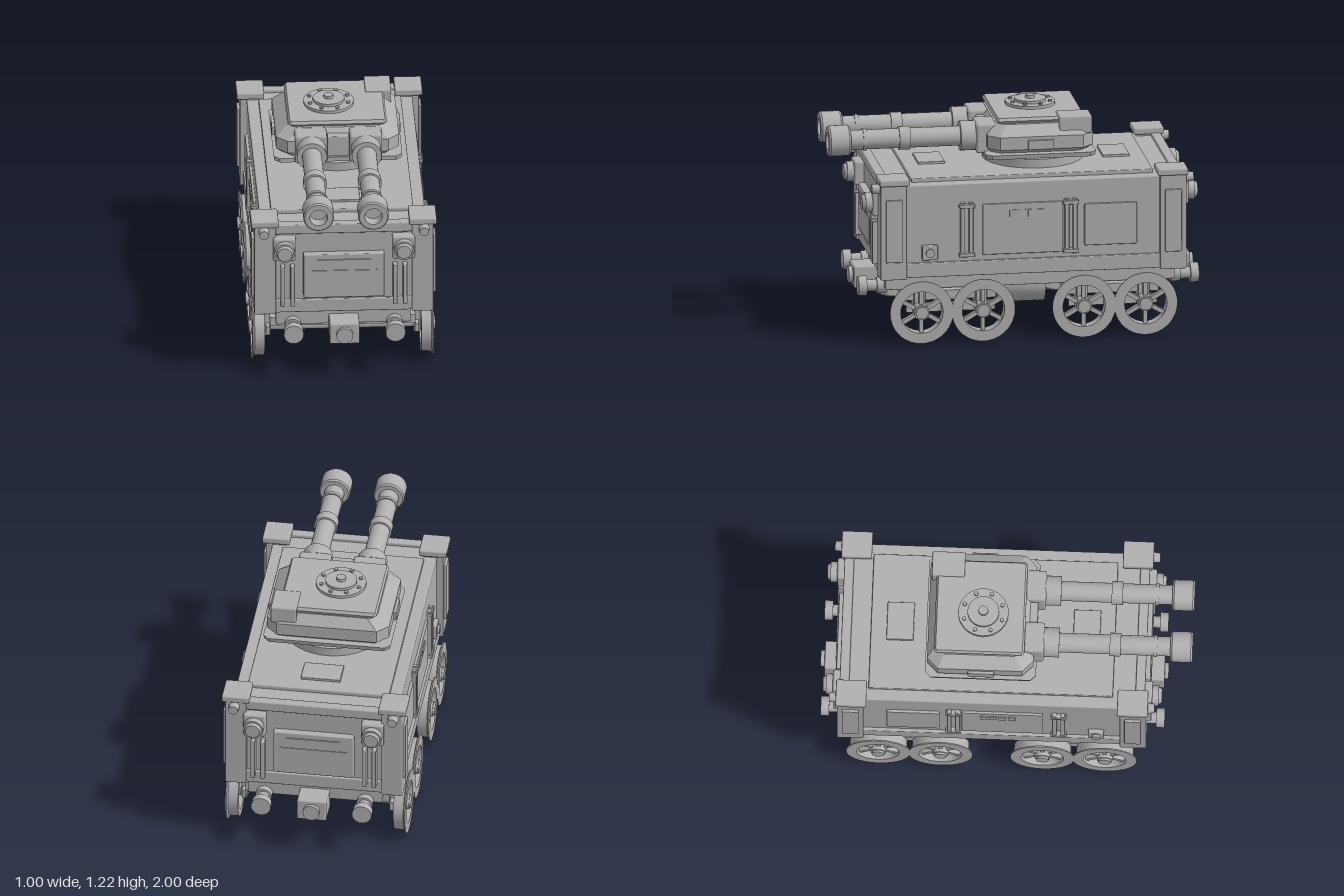
import * as THREE from 'three';
import { toCreasedNormals } from 'three/addons/utils/BufferGeometryUtils.js';
import { RoundedBoxGeometry } from 'three/addons/geometries/RoundedBoxGeometry.js';
import { ConvexGeometry } from 'three/addons/geometries/ConvexGeometry.js';

const steel = new THREE.MeshStandardMaterial({ color: 0xb0b0b0 });
steel.name = 'steel grey';
const ZC = -0.067; // middle of the hull along z

function add(parent, name, geo) {
  const m = new THREE.Mesh(geo, steel);
  m.name = name;
  parent.add(m);
  return m;
}

// box given by its limits, with an optional bevel
function box(parent, name, x0, x1, y0, y1, z0, z1, r = 0) {
  const w = x1 - x0, h = y1 - y0, d = z1 - z0;
  const geo = r ? new RoundedBoxGeometry(w, h, d, 1, r) : new THREE.BoxGeometry(w, h, d);
  const m = add(parent, name, geo);
  m.position.set((x0 + x1) / 2, (y0 + y1) / 2, (z0 + z1) / 2);
  return m;
}

// the same box on the left (+x) and the right
function pair(parent, name, x0, x1, ...rest) {
  box(parent, name, x0, x1, ...rest);
  box(parent, name, -x1, -x0, ...rest);
}

// cylinder along one axis, between a and b; u and v are the other two coordinates in xyz order
function rod(parent, name, axis, r, a, b, u, v, n = 24, r2 = r) {
  const geo = new THREE.CylinderGeometry(r2, r, b - a, n);
  const c = (a + b) / 2;
  if (axis === 'x') geo.rotateZ(-Math.PI / 2).translate(c, u, v);
  else if (axis === 'y') geo.translate(u, c, v);
  else geo.rotateX(Math.PI / 2).translate(u, v, c);
  return add(parent, name, toCreasedNormals(geo, 0.6));
}

function lathe(points, n = 32) {
  const pts = points.map(p => new THREE.Vector2(p[0], p[1]));
  return toCreasedNormals(new THREE.LatheGeometry(pts, n), 0.5);
}

// wheel with its outer side facing +x
function wheel() {
  const g = new THREE.Group();
  g.name = 'wheel';
  const rim = lathe([[0.115, -0.034], [0.153, -0.034], [0.155, 0.02], [0.172, 0.026],
    [0.172, 0.033], [0.115, 0.033], [0.115, -0.034]], 36);
  add(g, 'wheelRim', rim.rotateZ(-Math.PI / 2));
  rod(g, 'hub', 'x', 0.042, -0.034, 0.034, 0, 0, 20);
  rod(g, 'hubCap', 'x', 0.034, 0.034, 0.046, 0, 0, 20);
  for (let i = 0; i < 6; i++) {
    const spoke = add(g, 'spoke', new THREE.BoxGeometry(0.03, 0.09, 0.022).translate(0, 0.078, 0));
    spoke.rotation.x = i * Math.PI / 3;
  }
  return g;
}

// everything at one end of the hull, built at the front
function hullEnd() {
  const g = new THREE.Group();
  g.name = 'hullEnd';
  box(g, 'topBeam', -0.37, 0.37, 0.83, 0.885, 0.7, 0.752, 0.006);
  box(g, 'bottomBeam', -0.37, 0.37, 0.36, 0.435, 0.7, 0.752, 0.006);
  pair(g, 'cornerPost', 0.365, 0.48, 0.355, 0.88, 0.62, 0.762, 0.006);
  pair(g, 'postCap', 0.35, 0.498, 0.878, 0.915, 0.605, 0.77, 0.008);
  pair(g, 'postPlate', 0.475, 0.495, 0.455, 0.8, 0.645, 0.735, 0.005);
  // central hatch plate
  box(g, 'hatchPlate', -0.217, 0.217, 0.455, 0.715, 0.72, 0.775, 0.006);
  box(g, 'hatchSlot', -0.145, 0.145, 0.645, 0.685, 0.77, 0.781);
  box(g, 'hatchPanel', -0.182, 0.182, 0.48, 0.62, 0.77, 0.779);
  // vertical bars and lamps
  for (const x of [0.275, 0.328]) pair(g, 'verticalBar', x - 0.012, x + 0.012, 0.41, 0.645, 0.72, 0.785, 0.005);
  pair(g, 'lampHousing', 0.258, 0.38, 0.685, 0.82, 0.72, 0.79, 0.012);
  for (const s of [-1, 1]) {
    rod(g, 'lampRing', 'z', 0.055, 0.785, 0.825, s * 0.32, 0.752, 24);
    rod(g, 'lampGlass', 'z', 0.046, 0.825, 0.842, s * 0.32, 0.752, 24, 0.038);
    rod(g, 'markerLamp', 'z', 0.03, 0.755, 0.805, s * 0.43, 0.853, 16, 0.025);
    rod(g, 'bufferStem', 'z', 0.032, 0.7, 0.82, s * 0.273, 0.277, 16);
    rod(g, 'bufferCollar', 'z', 0.044, 0.7, 0.755, s * 0.273, 0.277, 16);
    rod(g, 'bufferHead', 'z', 0.053, 0.81, 0.855, s * 0.273, 0.277, 24);
  }
  box(g, 'couplerBox', -0.08, 0.08, 0.21, 0.33, 0.7, 0.845, 0.008);
  rod(g, 'couplerPin', 'z', 0.045, 0.84, 0.866, 0, 0.268, 20);
  // bogie: plate, side beams, axles, wheels
  const mid = 0.373;
  box(g, 'bogiePlate', -0.39, 0.39, 0.215, 0.265, mid - 0.25, mid + 0.25);
  pair(g, 'bogieBeam', 0.39, 0.41, 0.155, 0.205, mid - 0.24, mid + 0.24);
  for (const z of [0.206, 0.54]) {
    rod(g, 'axle', 'x', 0.022, -0.43, 0.43, 0.175, z, 12);
    pair(g, 'axleBox', 0.385, 0.42, 0.13, 0.285, z - 0.03, z + 0.03, 0.005);
    for (const s of [-1, 1]) {
      const w = wheel();
      w.position.set(s * 0.454, 0.172, z);
      if (s < 0) w.rotation.y = Math.PI;
      g.add(w);
    }
  }
  return g;
}

function hullSides(g) {
  const X = 0.445; // side wall
  pair(g, 'sideSill', 0.42, X + 0.018, 0.36, 0.44, -0.76, 0.63, 0.006);
  pair(g, 'sidePanel', 0.42, X + 0.014, 0.47, 0.75, -0.228, 0.206, 0.005);
  pair(g, 'rearSidePanel', 0.42, X + 0.016, 0.5, 0.73, -0.63, -0.346, 0.005);
  pair(g, 'sideBox', 0.42, X + 0.025, 0.455, 0.537, 0.45, 0.535, 0.006);
  for (let i = 0; i < 4; i++) {
    const z = 0.04 - i * 0.05;
    pair(g, 'viewSlit', X + 0.012, X + 0.02, 0.675, 0.715, z - 0.02, z + 0.02);
  }
  for (const z of [0.292, -0.272]) {
    for (const y of [0.475, 0.745])
      pair(g, 'railBracket', 0.43, X + 0.03, y - 0.01, y + 0.012, z - 0.042, z + 0.042, 0.004);
    for (const d of [-0.022, 0.022])
      pair(g, 'sideRail', 0.43, X + 0.025, 0.465, 0.765, z + d - 0.012, z + d + 0.012, 0.004);
  }
  for (const s of [-1, 1])
    rod(g, 'sideBoxKnob', 'x', 0.024, s > 0 ? 0.46 : -0.482, s > 0 ? 0.482 : -0.46, 0.495, 0.492, 16);
}

// horizontal outline with cut corners, at height y
function outline(y, hx, z0, z1, c) {
  const p = [];
  for (const s of [-1, 1]) p.push([s * (hx - c), z0], [s * hx, z0 + c], [s * hx, z1 - c], [s * (hx - c), z1]);
  return p.map(([x, z]) => new THREE.Vector3(x, y, z));
}

function gun(x) {
  const g = new THREE.Group();
  g.name = 'gun';
  g.position.set(x, 1.053, 0);
  box(g, 'gunMount', -0.087, 0.087, -0.083, 0.081, 0.05, 0.205, 0.015);
  rod(g, 'gunSleeve', 'z', 0.08, 0.2, 0.285, 0, 0, 24);
  rod(g, 'barrel', 'z', 0.053, 0.28, 0.9, 0, 0, 24);
  rod(g, 'barrelBand', 'z', 0.063, 0.555, 0.615, 0, 0, 24);
  rod(g, 'barrelRing', 'z', 0.059, 0.79, 0.81, 0, 0, 24);
  // hollow muzzle
  const muzzle = lathe([[0.05, 0.88], [0.076, 0.88], [0.083, 0.89], [0.083, 0.99], [0.076, 1],
    [0.047, 1], [0.047, 0.93], [0, 0.93]], 28);
  add(g, 'muzzle', muzzle.rotateX(Math.PI / 2));
  return g;
}

function turret() {
  const g = new THREE.Group();
  g.name = 'turret';
  const cz = -0.135;
  rod(g, 'turretRing', 'y', 0.271, 0.885, 0.937, 0, cz, 40);
  rod(g, 'turretNeck', 'y', 0.245, 0.937, 0.97, 0, cz, 40);
  add(g, 'turretBase', new ConvexGeometry([
    ...outline(0.962, 0.34, -0.425, 0.165, 0.03), ...outline(0.986, 0.345, -0.43, 0.165, 0.03)]));
  add(g, 'turretBody', new ConvexGeometry([
    ...outline(0.985, 0.295, -0.39, 0.13, 0.05), ...outline(1.01, 0.33, -0.42, 0.15, 0.06),
    ...outline(1.08, 0.33, -0.42, 0.15, 0.06), ...outline(1.135, 0.265, -0.38, 0.1, 0.05)]));
  add(g, 'turretRoof', new ConvexGeometry([
    ...outline(1.132, 0.24, -0.375, 0.08, 0.01), ...outline(1.152, 0.265, -0.385, 0.1, 0.01),
    ...outline(1.168, 0.255, -0.375, 0.09, 0.01)]));
  box(g, 'roofBox', 0.165, 0.305, 1.08, 1.177, -0.412, -0.235, 0.008);
  box(g, 'mantlet', -0.058, 0.058, 0.99, 1.11, 0.05, 0.165, 0.006);
  pair(g, 'sideTab', 0.32, 0.346, 1.01, 1.062, -0.2, -0.06, 0.005);
  // round hatch with bolts
  const hx = -0.037, hz = -0.127;
  rod(g, 'hatchBase', 'y', 0.135, 1.165, 1.184, hx, hz, 32);
  rod(g, 'hatchLid', 'y', 0.085, 1.184, 1.199, hx, hz, 32);
  rod(g, 'hatchKnob', 'y', 0.026, 1.199, 1.216, hx, hz, 16);
  for (let i = 0; i < 8; i++) {
    const a = (i + 0.5) * Math.PI / 4;
    rod(g, 'hatchBolt', 'y', 0.011, 1.184, 1.194, hx + 0.11 * Math.cos(a), hz + 0.11 * Math.sin(a), 8);
  }
  g.add(gun(-0.147), gun(0.147));
  return g;
}

export function createModel() {
  const model = new THREE.Group();
  model.name = 'armouredRailCar';
  // hull, roof and chassis
  box(model, 'hull', -0.445, 0.445, 0.36, 0.868, ZC - 0.805, ZC + 0.805, 0.008);
  box(model, 'roofPlate', -0.382, 0.382, 0.86, 0.889, -0.73, 0.58, 0.006);
  box(model, 'frontRoofHatch', -0.1, 0.1, 0.88, 0.902, 0.355, 0.5, 0.004);
  box(model, 'rearRoofHatch', -0.107, 0.107, 0.88, 0.902, -0.645, -0.5, 0.004);
  box(model, 'chassis', -0.363, 0.363, 0.27, 0.362, ZC - 0.785, ZC + 0.785, 0.006);
  rod(model, 'tank', 'z', 0.118, -0.19, 0.05, 0, 0.203, 18);
  hullSides(model);
  // both ends, the rear one turned about the middle of the hull
  const front = hullEnd(), rear = hullEnd();
  rear.rotation.y = Math.PI;
  rear.position.z = 2 * ZC;
  model.add(front, rear, turret());
  return model;
}
